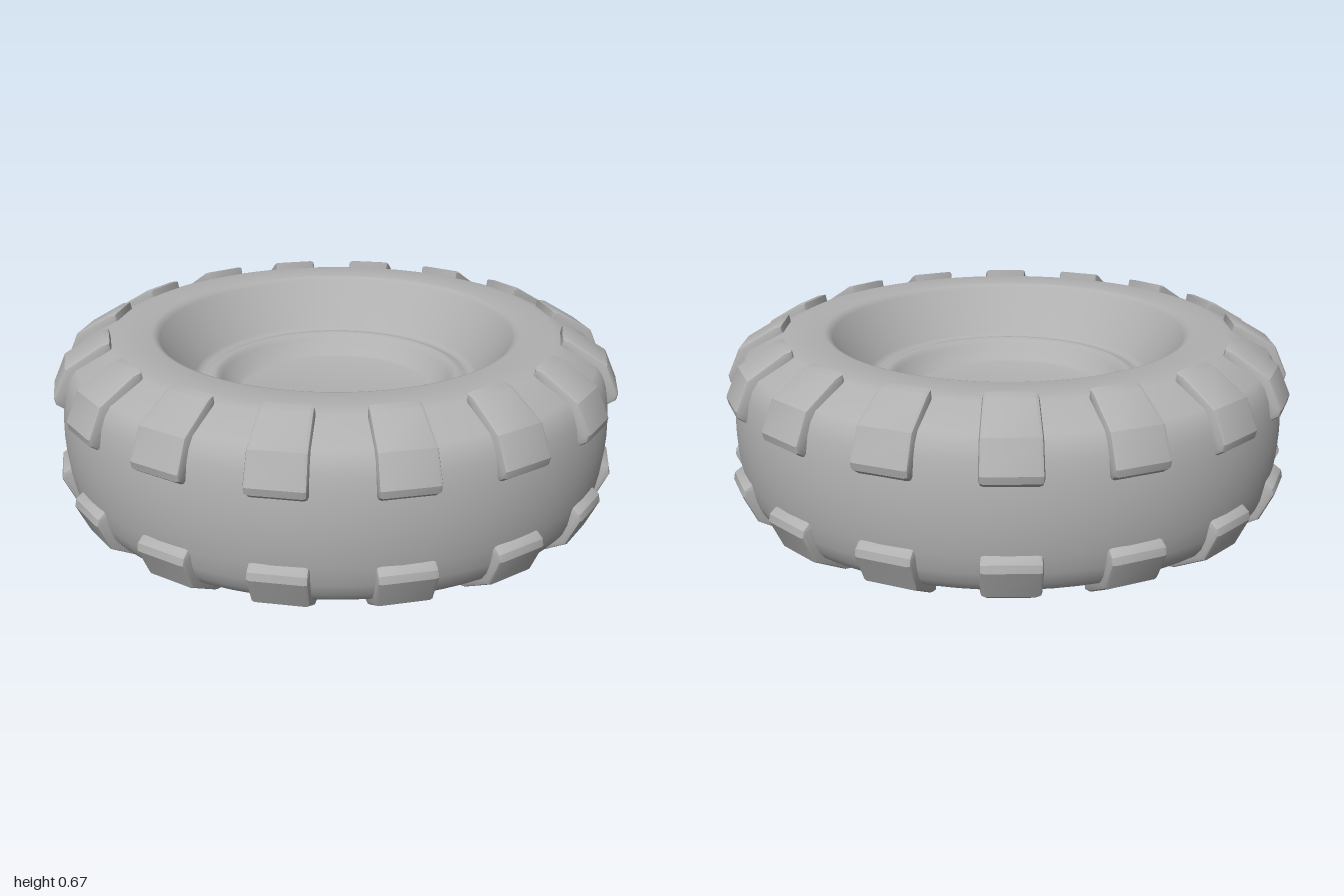
import * as THREE from 'three';
import { toCreasedNormals } from 'three/addons/utils/BufferGeometryUtils.js';

const HEIGHT = 0.667;
const LUGS = 16;

// Flat-fronted tread block: (radius, y) section extruded along the tangent, narrower inward
function lugGeometry(mirrored) {
  const section = [
    [0.785, 0.62], [0.795, 0.667], [0.825, 0.66], [0.95, 0.585], [0.995, 0.485],
    [0.99, 0.46], [0.965, 0.442], [0.92, 0.44], [0.88, 0.53],
  ].map(([r, y]) => new THREE.Vector2(r, mirrored ? HEIGHT - y : y));
  const width = 0.19, bevel = 0.014;
  const geo = new THREE.ExtrudeGeometry(new THREE.Shape(section), {
    depth: width - 2 * bevel, bevelThickness: bevel, bevelSize: bevel,
    bevelOffset: -bevel, bevelSegments: 2,
  });
  geo.translate(0, 0, bevel - width / 2);
  const p = geo.attributes.position;
  for (let i = 0; i < p.count; i++) {
    p.setZ(i, p.getZ(i) * (1 - 0.7 * (0.99 - p.getX(i))));
  }
  return toCreasedNormals(geo, 0.5);
}

export function createModel() {
  const group = new THREE.Group();
  group.name = 'wheel';
  const grey = new THREE.MeshStandardMaterial({ color: 0xb0b0b0 });
  grey.name = 'grey';

  // Upper half of the wheel section, from the tyre's middle to the hub centre
  const upper = [
    [0.972, 0.39], [0.966, 0.45], [0.955, 0.51], [0.94, 0.55], [0.918, 0.58],
    [0.80, 0.64], [0.77, 0.647], [0.65, 0.647], [0.636, 0.643], [0.624, 0.63],
    [0.51, 0.472], [0.50, 0.462], [0.485, 0.458], [0.47, 0.463], [0.45, 0.473],
    [0.435, 0.474], [0.422, 0.467], [0.412, 0.455], [0.365, 0.402], [0.35, 0.397], [0, 0.397],
  ];
  const lower = upper.map(([r, y]) => [r, HEIGHT - y]).reverse();
  const profile = [...lower, [0.974, HEIGHT / 2], ...upper].map(([r, y]) => new THREE.Vector2(r, y));
  const tyre = new THREE.Mesh(toCreasedNormals(new THREE.LatheGeometry(profile, 80), 0.6), grey);
  tyre.name = 'tyreAndHub';
  group.add(tyre);

  // Tread blocks around both shoulders
  for (const mirrored of [false, true]) {
    const geo = lugGeometry(mirrored);
    const ring = new THREE.Group();
    ring.name = mirrored ? 'lowerTread' : 'upperTread';
    for (let i = 0; i < LUGS; i++) {
      const lug = new THREE.Mesh(geo, grey);
      lug.name = 'treadBlock';
      lug.rotation.y = ((i + 0.25) / LUGS) * Math.PI * 2;
      ring.add(lug);
    }
    group.add(ring);
  }
  return group;
}
